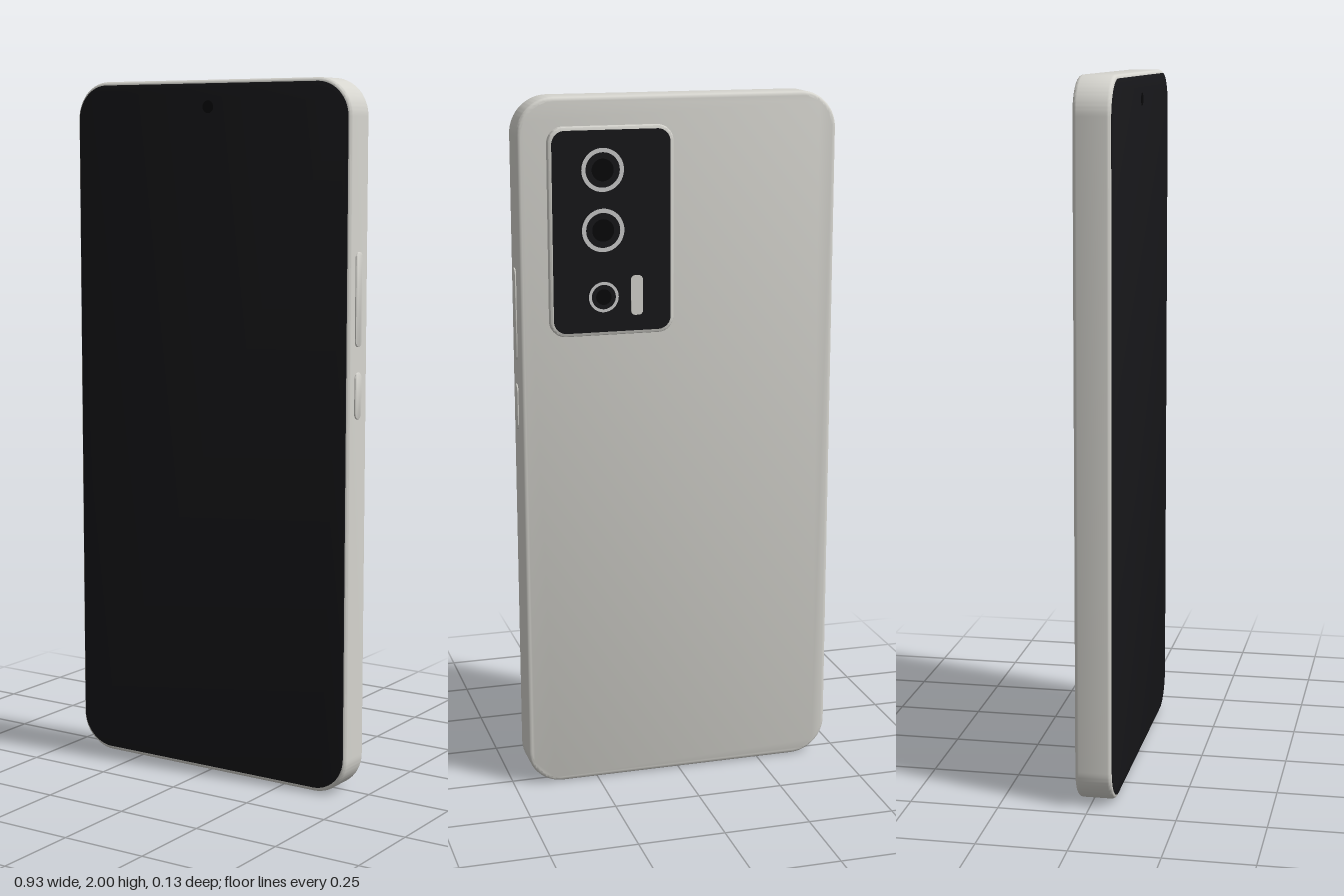
import * as THREE from 'three';
import { toCreasedNormals } from 'three/addons/utils/BufferGeometryUtils.js';

const grey = new THREE.MeshStandardMaterial({ color: 0xcccccc });
const shell = new THREE.MeshStandardMaterial({ color: 0xd6d5cf });
const black = new THREE.MeshStandardMaterial({ color: 0x17171a });
const darkest = new THREE.MeshStandardMaterial({ color: 0x08080a });

function roundedRect(w, h, r) {
  const s = new THREE.Shape();
  const x = w / 2, y = h / 2;
  s.moveTo(-x + r, -y);
  s.lineTo(x - r, -y);
  s.absarc(x - r, -y + r, r, -Math.PI / 2, 0);
  s.lineTo(x, y - r);
  s.absarc(x - r, y - r, r, 0, Math.PI / 2);
  s.lineTo(-x + r, y);
  s.absarc(-x + r, y - r, r, Math.PI / 2, Math.PI);
  s.lineTo(-x, -y + r);
  s.absarc(-x + r, -y + r, r, Math.PI, Math.PI * 1.5);
  return s;
}

// Rounded slab centred on its own origin, with its thickness along z
function slab(name, w, h, d, r, bevel, material) {
  const geo = new THREE.ExtrudeGeometry(roundedRect(w, h, r), {
    depth: d - 2 * bevel, bevelEnabled: bevel > 0, bevelThickness: bevel,
    bevelSize: bevel, bevelOffset: -bevel, bevelSegments: 4, curveSegments: 14,
  });
  geo.translate(0, 0, bevel - d / 2);
  const mesh = new THREE.Mesh(toCreasedNormals(geo, 0.6), material);
  mesh.name = name;
  return mesh;
}

function disc(name, r, d, material) {
  const mesh = new THREE.Mesh(new THREE.CylinderGeometry(r, r, d, 40).rotateX(Math.PI / 2), material);
  mesh.name = name;
  return mesh;
}

// Camera lens facing -z, with its tip at the group's origin
function lens(name, r) {
  const g = new THREE.Group();
  g.name = name;
  const barrel = disc('lensBarrel', r, 0.008, black);
  barrel.position.z = 0.0045;
  const rim = new THREE.Shape().absarc(0, 0, r * 0.97, 0, Math.PI * 2);
  rim.holes.push(new THREE.Path().absarc(0, 0, r * 0.78, 0, Math.PI * 2, true));
  const ring = new THREE.Mesh(
    new THREE.ExtrudeGeometry(rim, { depth: 0.002, bevelEnabled: false, curveSegments: 24 }), grey);
  ring.name = 'lensRing';
  const glass = disc('lensGlass', r * 0.5, 0.001, darkest);
  glass.position.z = 0.0003;
  g.add(barrel, ring, glass);
  return g;
}

export function createModel() {
  const phone = new THREE.Group();
  phone.name = 'phone';
  const cx = -0.002, midZ = 0.012;
  const put = (mesh, x, y, z) => {
    mesh.position.set(x, y, z);
    phone.add(mesh);
    return mesh;
  };

  // Body and screen
  put(slab('body', 0.921, 2, 0.104, 0.105, 0.012, shell), cx, 1, midZ);
  put(slab('screen', 0.905, 1.978, 0.006, 0.097, 0.001, black), cx, 1.001, 0.0625);
  put(disc('frontCamera', 0.018, 0.001, darkest), cx, 1.925, 0.0656);

  // Side buttons
  for (const [name, y, h] of [['volumeButton', 1.4, 0.26], ['powerButton', 1.135, 0.13]]) {
    put(slab(name, 0.034, h, 0.012, 0.0165, 0.002, shell), 0.4565, y, 0.015).rotation.y = Math.PI / 2;
  }

  // Camera island on the back
  put(slab('cameraIsland', 0.356, 0.58, 0.026, 0.045, 0.006, shell), 0.198, 1.63, -0.046);
  put(slab('cameraPlate', 0.336, 0.56, 0.003, 0.037, 0, black), 0.198, 1.63, -0.0585);
  put(lens('upperLens', 0.062), 0.225, 1.802, -0.067);
  put(lens('middleLens', 0.062), 0.225, 1.636, -0.067);
  put(lens('lowerLens', 0.044), 0.225, 1.45, -0.067);
  put(slab('flash', 0.034, 0.112, 0.003, 0.012, 0, shell), 0.128, 1.45, -0.0598);

  // Charging port and speaker holes on the bottom edge
  put(slab('chargingPort', 0.125, 0.04, 0.004, 0.0195, 0, darkest), cx, 0.0015, midZ).rotation.x = Math.PI / 2;
  for (const side of [-1, 1]) {
    for (let i = 0; i < 6; i++) {
      put(disc('speakerHole', 0.008, 0.004, darkest), cx + side * (0.125 + i * 0.024), 0.0015, midZ)
        .rotation.x = Math.PI / 2;
    }
  }
  return phone;
}
